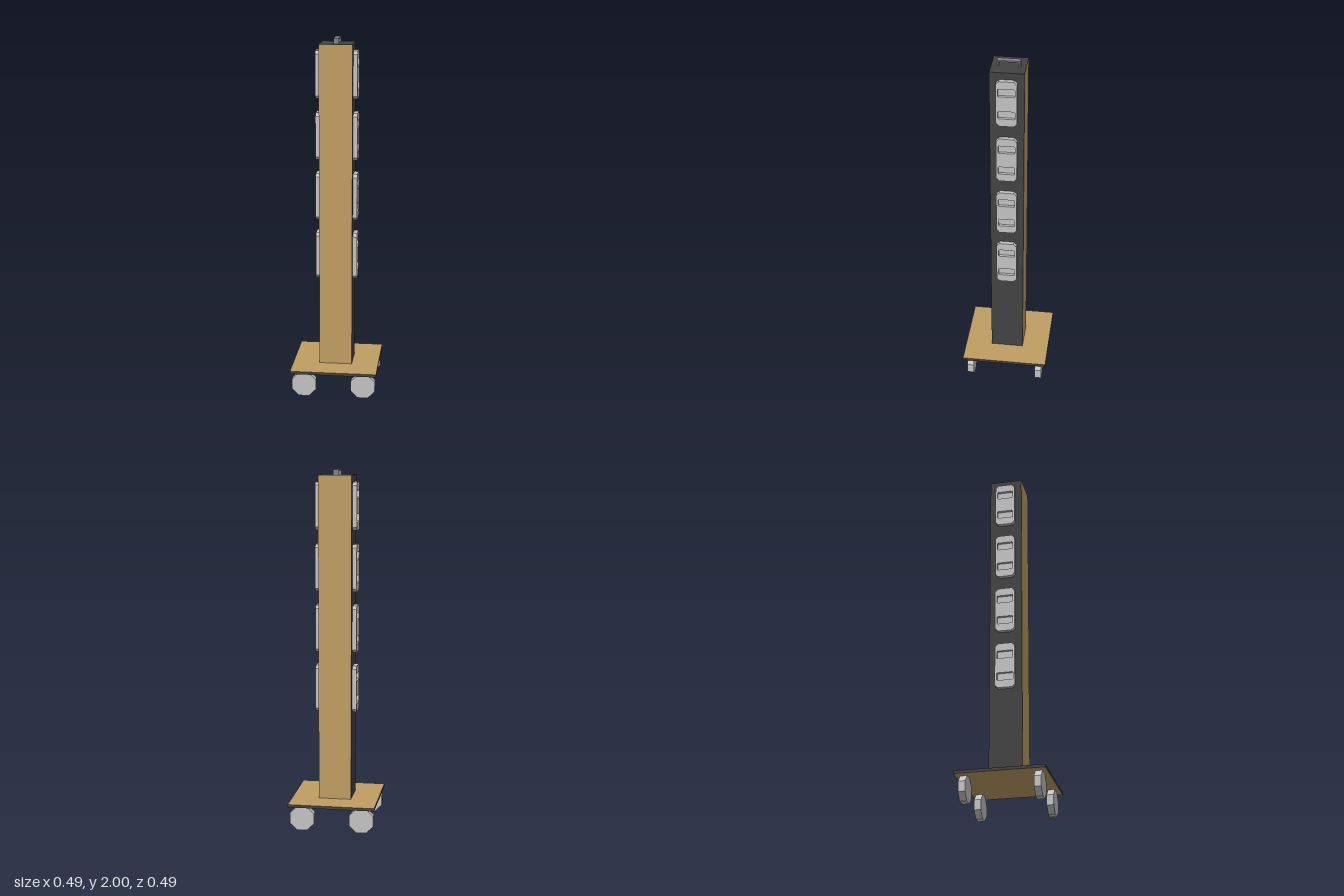
import * as THREE from 'three';

const mat = (name, color) => {
  const m = new THREE.MeshStandardMaterial({ color });
  m.name = name;
  return m;
};

export function createModel() {
  const wood = mat('wood', 0xc09e63);
  const dark = mat('darkCasing', 0x424242);
  const grey = mat('lightGrey', 0xc3c3c3);
  const steel = mat('steel', 0x80848b);
  const root = new THREE.Group();
  root.name = 'socketTower';

  const add = (parent, name, geo, material, x = 0, y = 0, z = 0) => {
    const m = new THREE.Mesh(geo, material);
    m.name = name;
    m.position.set(x, y, z);
    parent.add(m);
    return m;
  };
  const box = (w, h, d) => new THREE.BoxGeometry(w, h, d);

  // Column: wooden front and back, dark sides and ends
  add(root, 'column', box(0.184, 1.82, 0.184), [dark, dark, dark, dark, wood, wood], 0, 1.06, 0);

  // Base board: wooden faces, dark edge
  add(root, 'baseBoard', box(0.486, 0.016, 0.486), [dark, dark, wood, wood, dark, dark], 0, 0.144, 0);

  // Octagonal wheels, standing on a flat
  const apothem = 0.068;
  const r = apothem / Math.cos(Math.PI / 8);
  const wheelGeo = new THREE.CylinderGeometry(r, r, 0.038, 8, 1, false, Math.PI / 8)
    .rotateX(Math.PI / 2).toNonIndexed();
  wheelGeo.computeVertexNormals();
  for (const x of [-0.167, 0.167])
    for (const z of [-0.2, 0.2]) add(root, 'wheel', wheelGeo, grey, x, apothem, z);

  // Handle on top
  const handle = new THREE.Group();
  handle.name = 'handle';
  root.add(handle);
  add(handle, 'handleBar', box(0.03, 0.008, 0.124), steel, 0, 1.996, 0);
  for (const z of [-0.057, 0.057]) add(handle, 'handlePost', box(0.03, 0.022, 0.01), steel, 0, 1.981, z);

  // Socket plate outline with clipped corners and two slots
  const w = 0.056, h = 0.131, c = 0.017;
  const outline = (a, b, k) => [
    [a - k, -b], [a, -b + k], [a, b - k], [a - k, b],
    [-a + k, b], [-a, b - k], [-a, -b + k], [-a + k, -b],
  ].map(([x, y]) => new THREE.Vector2(x, y));
  const plate = new THREE.Shape(outline(w, h, c));
  for (const y of [-0.065, 0.065]) {
    const pts = outline(0.045, 0.022, 0.004);
    pts.forEach((p) => { p.y += y; });
    plate.holes.push(new THREE.Path(pts.reverse()));
  }
  const plateGeo = new THREE.ExtrudeGeometry(plate, { depth: 0.024, bevelEnabled: false });
  const floorGeo = box(0.096, 0.21, 0.008);

  // Four socket plates on each side
  for (const side of [1, -1]) {
    for (let i = 0; i < 4; i++) {
      const socket = new THREE.Group();
      socket.name = side > 0 ? 'leftSocket' : 'rightSocket';
      socket.position.set(side * 0.092, 0.78 + i * 0.34, 0);
      socket.rotation.y = side * Math.PI / 2;
      root.add(socket);
      add(socket, 'socketPlate', plateGeo, grey);
      add(socket, 'slotFloor', floorGeo, grey, 0, 0, 0.004);
    }
  }
  return root;
}
